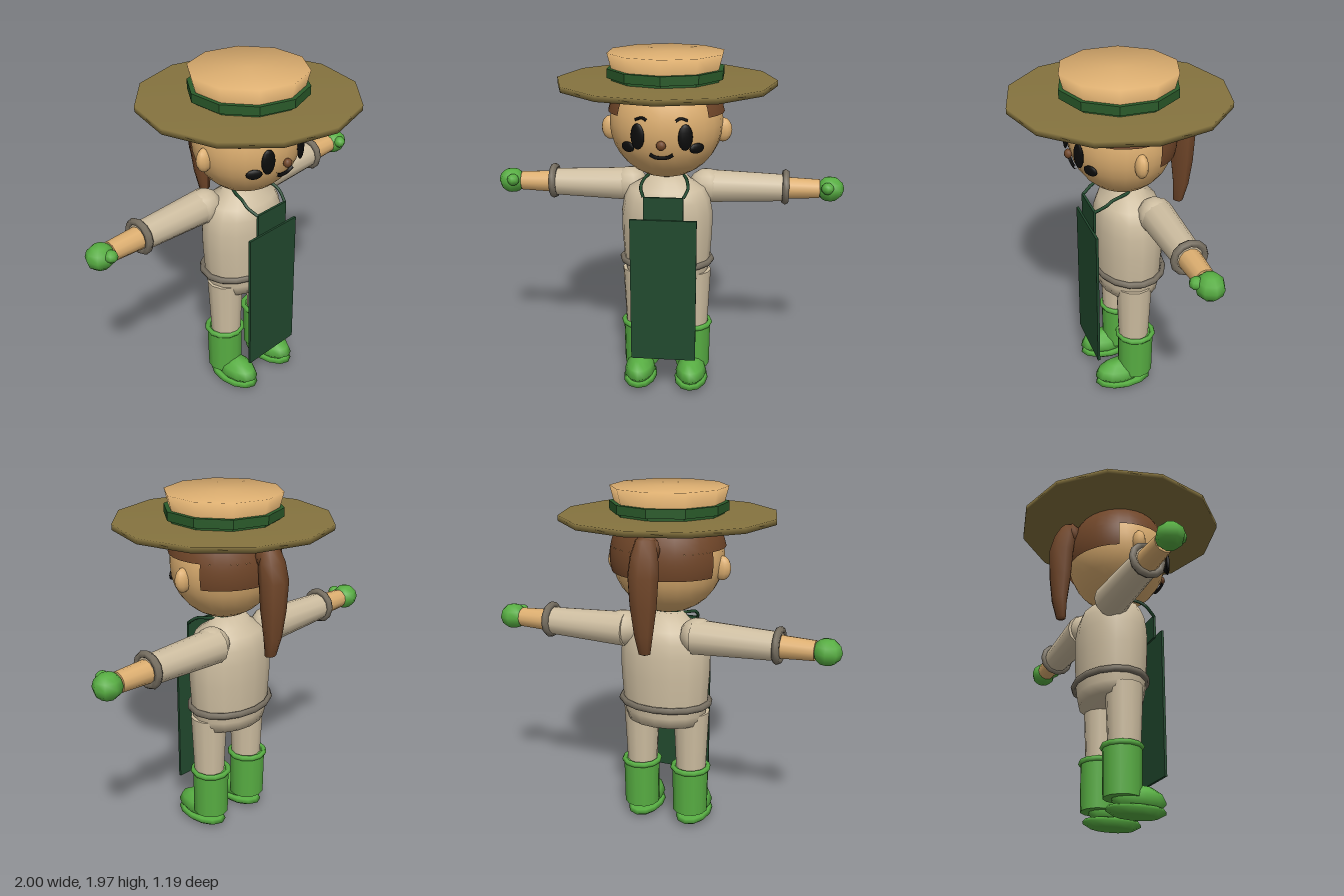
import * as THREE from 'three';

const mat = (name, color, side = THREE.FrontSide) => {
  const m = new THREE.MeshStandardMaterial({ color, side });
  m.name = name;
  return m;
};

export function createModel() {
  const root = new THREE.Group();
  root.name = 'gardener';
  const skin = mat('skin', 0xdcae70);
  const straw = mat('straw', 0x85733f);
  const band = mat('hat band green', 0x2a5a2a);
  const hairMat = mat('hair brown', 0x704629, THREE.DoubleSide);
  const cloth = mat('cloth beige', 0xcdbda0);
  const trim = mat('trim grey', 0x787062);
  const green = mat('rubber green', 0x57ad42);
  const apronMat = mat('apron dark green', 0x21492e);
  const ink = mat('ink black', 0x0b0b0b);

  const add = (name, geo, material, x = 0, y = 0, z = 0, parent = root) => {
    const m = new THREE.Mesh(geo, material);
    m.name = name;
    m.position.set(x, y, z);
    parent.add(m);
    return m;
  };
  const lathe = (pts, seg) =>
    new THREE.LatheGeometry(pts.map(([r, y]) => new THREE.Vector2(r, y)), seg);
  const ball = (sx, sy, sz, w = 12, h = 8) =>
    new THREE.SphereGeometry(1, w, h).scale(sx, sy, sz);
  const ring = (R, tube, seg = 12) =>
    new THREE.TorusGeometry(R, tube, 6, seg).rotateX(Math.PI / 2);

  // Hat
  add('hatBrim', lathe([[0, 1.8], [0.595, 1.8], [0.595, 1.83], [0, 1.83]], 12), straw);
  add('hatCrown', lathe([[0.28, 1.82], [0.32, 1.975], [0, 1.975]], 10), skin);
  add('hatBand', lathe([[0.3, 1.825], [0.3, 1.845], [0.323, 1.845], [0.323, 1.893], [0.28, 1.893]], 10)
    .toNonIndexed(), band).geometry.computeVertexNormals();

  // Head: slightly flattened sphere with hair shells over it
  const HY = 1.6, HZ = -0.012, R = 0.312, FLAT = 0.92;
  add('head', ball(R, R, R * FLAT, 24, 16), skin, 0, HY, HZ);
  const rad = THREE.MathUtils.degToRad;
  const hairShell = (name, from, len, yTop, yBottom) => {
    const r = R + 0.012;
    const t0 = Math.acos(yTop / r), t1 = Math.acos(yBottom / r);
    const g = new THREE.SphereGeometry(r, 20, 5, rad(from), rad(len), t0, t1 - t0);
    add(name, g.scale(1, 1, FLAT), hairMat, 0, HY, HZ);
  };
  hairShell('hairTop', 139, 262, 0.26, 0.06);
  hairShell('hairBack', 203, 134, 0.06, -0.08);

  // Ponytail: rows of height, radius and depth
  const tail = [[1.13, 0, -0.36], [1.14, 0.028, -0.357], [1.25, 0.045, -0.37], [1.4, 0.063, -0.37],
    [1.56, 0.072, -0.368], [1.66, 0.065, -0.35], [1.74, 0.045, -0.33], [1.76, 0, -0.32]];
  const tailGeo = lathe(tail.map(([y, r]) => [r, y]), 8);
  const tp = tailGeo.attributes.position;
  for (let i = 0; i < tp.count; i++) {
    tp.setX(i, tp.getX(i) * 1.2);
    tp.setZ(i, tp.getZ(i) + tail[i % tail.length][2]);
  }
  tailGeo.computeVertexNormals();
  add('ponytail', tailGeo, hairMat);
  add('hairKnot', ball(0.075, 0.08, 0.055, 8, 6), hairMat, 0, 1.69, -0.315);

  // Face details sit on the head surface
  const faceZ = (x, y) => HZ + FLAT * Math.sqrt(R * R - x * x - (y - HY) ** 2);
  add('nose', ball(0.026, 0.026, 0.022, 10, 8), hairMat, 0, 1.53, faceZ(0, 1.53) + 0.015);
  const stroke = (name, pts, r) => {
    const c = new THREE.CatmullRomCurve3(
      pts.map(([x, y]) => new THREE.Vector3(x, y, faceZ(x, y) + 0.014)));
    add(name, new THREE.TubeGeometry(c, 12, r, 6), ink);
  };
  stroke('mouth', [[-0.062, 1.478], [-0.035, 1.462], [0, 1.458], [0.035, 1.462], [0.062, 1.478]], 0.01);

  for (const s of [1, -1]) {
    const side = s > 0 ? 'left' : 'right';
    const eye = add(side + 'Eye', ball(0.04, 0.07, 0.014), ink, s * 0.125, 1.572, faceZ(0.125, 1.572) + 0.012);
    eye.rotation.y = s * 0.35;
    const cheek = add(side + 'Cheek', ball(0.044, 0.028, 0.012), ink, s * 0.182, 1.505, faceZ(0.182, 1.505) + 0.012);
    cheek.rotation.y = s * 0.6;
    stroke(side + 'Brow', [[s * 0.075, 1.66], [s * 0.1, 1.672], [s * 0.135, 1.66]], 0.008);
    add(side + 'Ear', ball(0.05, 0.067, 0.036), skin, s * 0.31, 1.555, -0.015);
  }

  // Torso and belt, oval in plan
  const torso = lathe([[0, 0.66], [0.225, 0.66], [0.24, 0.72], [0.25, 0.8], [0.26, 0.95], [0.26, 1.07],
    [0.245, 1.15], [0.215, 1.215], [0.14, 1.255], [0.1, 1.3], [0, 1.3]], 16);
  add('torso', torso.scale(1, 1, 0.75), cloth, 0, 0, -0.05);
  add('belt', ring(0.257, 0.019, 16).scale(1, 1, 0.76), trim, 0, 0.778, -0.055);

  // Arms and legs, built once per side
  for (const s of [1, -1]) {
    const side = s > 0 ? 'left' : 'right';
    const arm = new THREE.Group();
    arm.name = side + 'Arm';
    arm.position.set(0, 1.195, -0.14);
    root.add(arm);
    const limb = (name, x0, x1, r0, r1, m) => {
      const g = new THREE.CylinderGeometry(r1, r0, x1 - x0, 12).rotateZ(-s * Math.PI / 2);
      add(side + name, g, m, s * (x0 + x1) / 2, 0, 0, arm);
    };
    add(side + 'Shoulder', ball(0.105, 0.1, 0.095, 10, 8), cloth, s * 0.22, 0.003, 0.01, arm);
    limb('Sleeve', 0.2, 0.68, 0.098, 0.078, cloth);
    limb('Forearm', 0.66, 0.86, 0.064, 0.055, skin);
    add(side + 'Cuff', ring(0.083, 0.021).rotateZ(Math.PI / 2), trim, s * 0.668, 0.005, 0, arm);
    add(side + 'Glove', ball(0.08, 0.072, 0.075, 8, 6), green, s * 0.92, 0, 0, arm);
    add(side + 'Thumb', ball(0.036, 0.034, 0.036, 8, 6), green, s * 0.9, 0.02, 0.065, arm);

    const leg = new THREE.Group();
    leg.name = side + 'Leg';
    leg.position.x = s * 0.153;
    root.add(leg);
    add(side + 'Trouser', new THREE.CylinderGeometry(0.104, 0.088, 0.36, 12), cloth, 0, 0.54, -0.038, leg);
    add(side + 'BootShaft', new THREE.CylinderGeometry(0.106, 0.102, 0.275, 12), green, 0, 0.2375, -0.05, leg);
    add(side + 'BootRim', ring(0.103, 0.016), green, 0, 0.372, -0.05, leg);
    const foot = lathe([[0, 0.04], [0.7, 0.05], [1, 0.09], [0.85, 0.135], [0.5, 0.168], [0, 0.182]], 12);
    add(side + 'Foot', foot.scale(0.092, 1, 0.155), green, 0, 0, 0.045, leg);
    const sole = lathe([[0, 0.008], [0.72, 0.013], [1, 0.04], [0.9, 0.06], [0, 0.065]], 12);
    add(side + 'Sole', sole.scale(0.1, 1, 0.172), green, 0, 0, 0.027, leg);
  }

  // Apron with bib and neck strap
  add('apronSkirt', new THREE.BoxGeometry(0.37, 0.85, 0.014), apronMat, 0, 0.663, 0.187);
  add('apronBib', new THREE.BoxGeometry(0.22, 0.14, 0.014), apronMat, 0, 1.145, 0.176);
  const strapPts = [[0.108, 1.21, 0.174], [0.13, 1.25, 0.115], [0.125, 1.272, 0.08], [0.105, 1.287, 0], [0.06, 1.295, -0.07]];
  const loop = [...strapPts, ...strapPts.map(([x, y, z]) => [-x, y, z]).reverse()];
  const path = new THREE.CatmullRomCurve3(loop.map(p => new THREE.Vector3(...p)));
  add('apronStrap', new THREE.TubeGeometry(path, 36, 0.009, 6), apronMat);

  return root;
}
